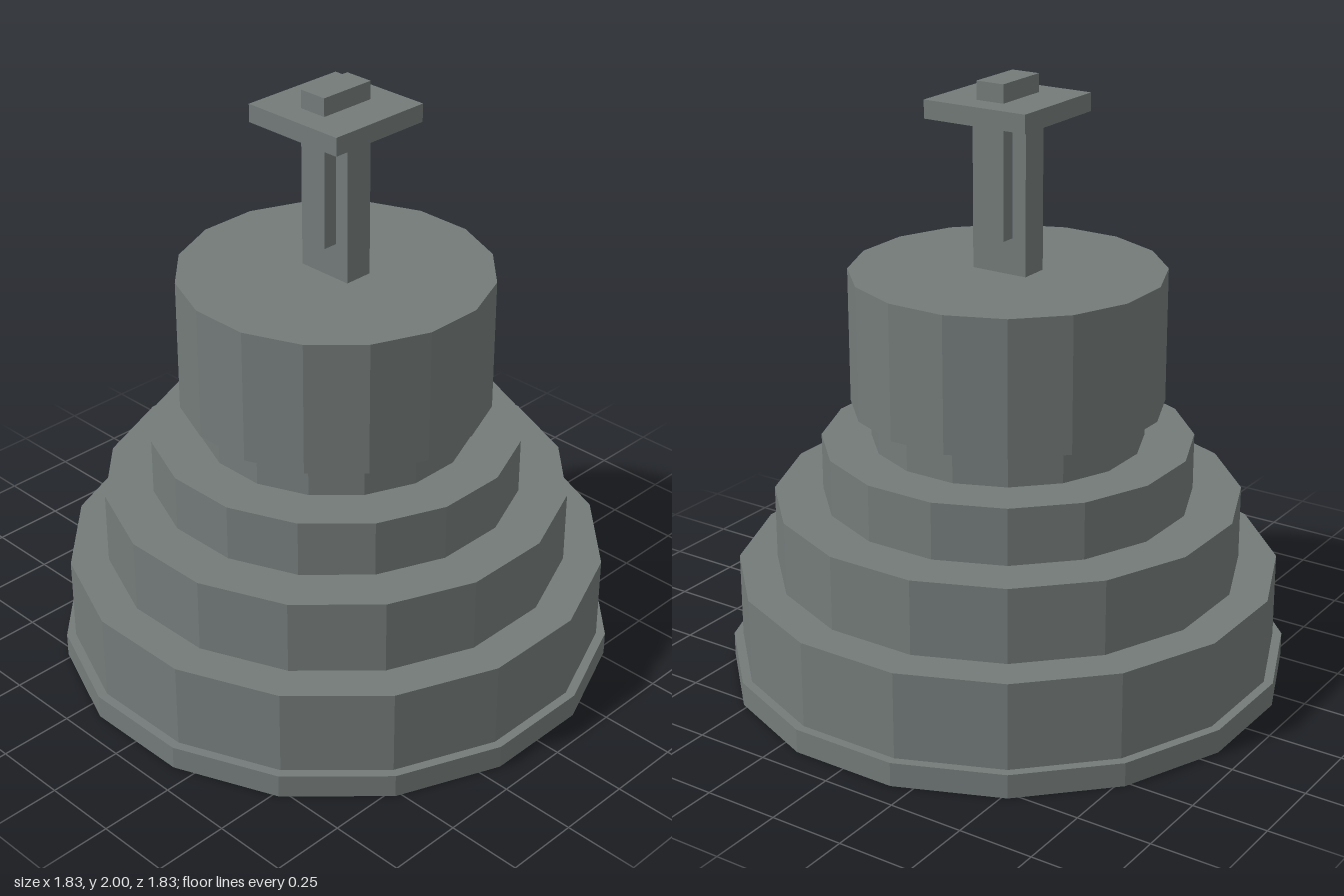
import * as THREE from 'three';

const SIDES = 16;
const TURN = Math.PI / SIDES; // flats face the axes
const radius = (flat) => flat / Math.cos(TURN);

export function createModel() {
  const model = new THREE.Group();
  const grey = new THREE.MeshStandardMaterial({ name: 'stone grey', color: 0x737b79, flatShading: true });
  const blue = new THREE.MeshStandardMaterial({ name: 'dark blue', color: 0x304856 });

  const add = (name, geometry, material = grey) => {
    const mesh = new THREE.Mesh(geometry, material);
    mesh.name = name;
    model.add(mesh);
    return mesh;
  };

  // hollow rim at the foot
  const rim = [[0.835, 0], [0.915, 0], [0.915, 0.08], [0.835, 0.08], [0.835, 0]]
    .map(([r, y]) => new THREE.Vector2(radius(r), y));
  add('baseRim', new THREE.LatheGeometry(rim, SIDES, TURN));

  // recessed underside
  const underside = add('underside', new THREE.CircleGeometry(radius(0.836), SIDES, TURN), blue);
  underside.rotation.x = Math.PI / 2;
  underside.position.y = 0.035;

  // stepped tiers: name, half width, bottom, top
  const tiers = [
    ['lowerTier', 0.885, 0.05, 0.37],
    ['middleTier', 0.76, 0.37, 0.62],
    ['upperTier', 0.602, 0.62, 0.81],
    ['neck', 0.441, 0.81, 0.93],
    ['drum', 0.505, 0.93, 1.38],
  ];
  for (const [name, flat, y0, y1] of tiers) {
    const r = radius(flat);
    const tier = add(name, new THREE.CylinderGeometry(r, r, y1 - y0, SIDES, 1, false, TURN));
    tier.position.y = (y0 + y1) / 2;
  }

  // crossed post with a square plate: name, width, depth, bottom, top
  const boxes = [
    ['post', 0.1, 0.2, 1.38, 1.88],
    ['crossPost', 0.2, 0.1, 1.5, 1.88],
    ['plate', 0.375, 0.375, 1.88, 1.94],
    ['cap', 0.2, 0.1, 1.94, 2],
  ];
  for (const [name, w, d, y0, y1] of boxes) {
    add(name, new THREE.BoxGeometry(w, y1 - y0, d)).position.y = (y0 + y1) / 2;
  }
  return model;
}
